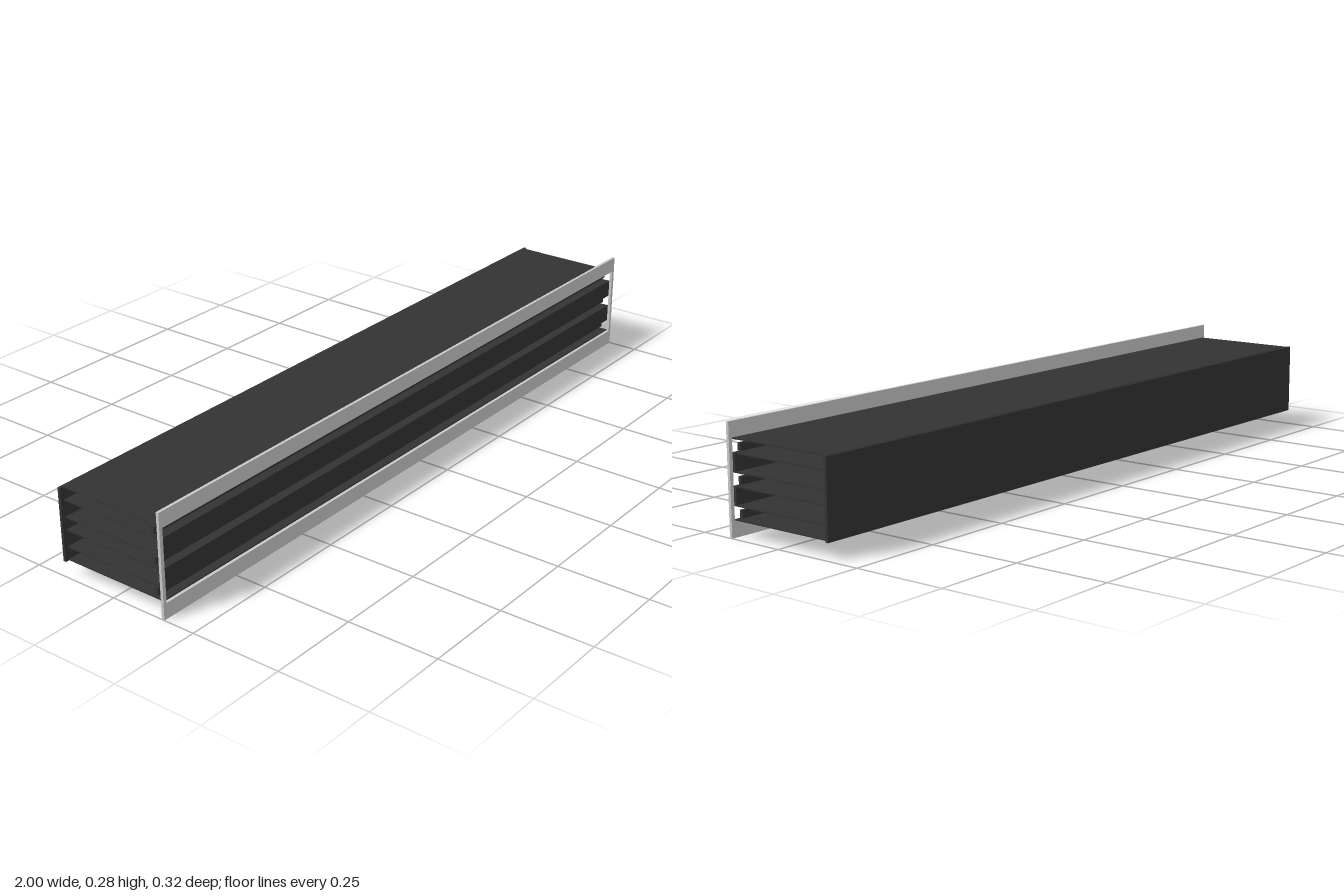
import * as THREE from 'three';

export function createModel() {
  const model = new THREE.Group();
  const frameMat = new THREE.MeshStandardMaterial({ color: 0xc8c8c8 });
  frameMat.name = 'light grey';
  const bodyMat = new THREE.MeshStandardMaterial({ color: 0x333333 });
  bodyMat.name = 'charcoal';

  // Box placed by its y and z limits, centred on x
  function bar(name, width, y0, y1, z0, z1) {
    const mesh = new THREE.Mesh(new THREE.BoxGeometry(width, y1 - y0, z1 - z0), bodyMat);
    mesh.position.set(0, (y0 + y1) / 2, (z0 + z1) / 2);
    mesh.name = name;
    model.add(mesh);
  }

  // Front flange: flat plate with one long opening
  const rectangle = (path, w, y0, y1) =>
    path.moveTo(-w, y0).lineTo(w, y0).lineTo(w, y1).lineTo(-w, y1).closePath();
  const outline = new THREE.Shape();
  rectangle(outline, 1, 0, 0.28);
  const opening = new THREE.Path();
  rectangle(opening, 0.99, 0.042, 0.238);
  outline.holes.push(opening);
  const frame = new THREE.Mesh(
    new THREE.ExtrudeGeometry(outline, { depth: 0.008, bevelEnabled: false }), frameMat);
  frame.position.z = 0.154;
  frame.name = 'frontFrame';
  model.add(frame);

  // Back panel closing the plenum
  bar('backPanel', 2, 0.042, 0.24, -0.162, -0.154);

  // Three open channels, each with a floor, a ceiling and a deflector blade
  for (let i = 0; i < 3; i++) {
    const y = 0.0425 + i * 0.0803;
    bar('channelFloor', 1.98, y, y + 0.003, -0.154, 0.154);
    bar('channelCeiling', 1.98, y + 0.0345, y + 0.0375, -0.154, 0.154);
    bar('deflectorBlade', 1.98, y + 0.009, y + 0.0285, 0.126, 0.136);
    // Spacer strip between neighbouring channels
    if (i < 2) bar('spacerStrip', 1.98, y + 0.0375, y + 0.0803, 0.146, 0.154);
  }
  return model;
}
